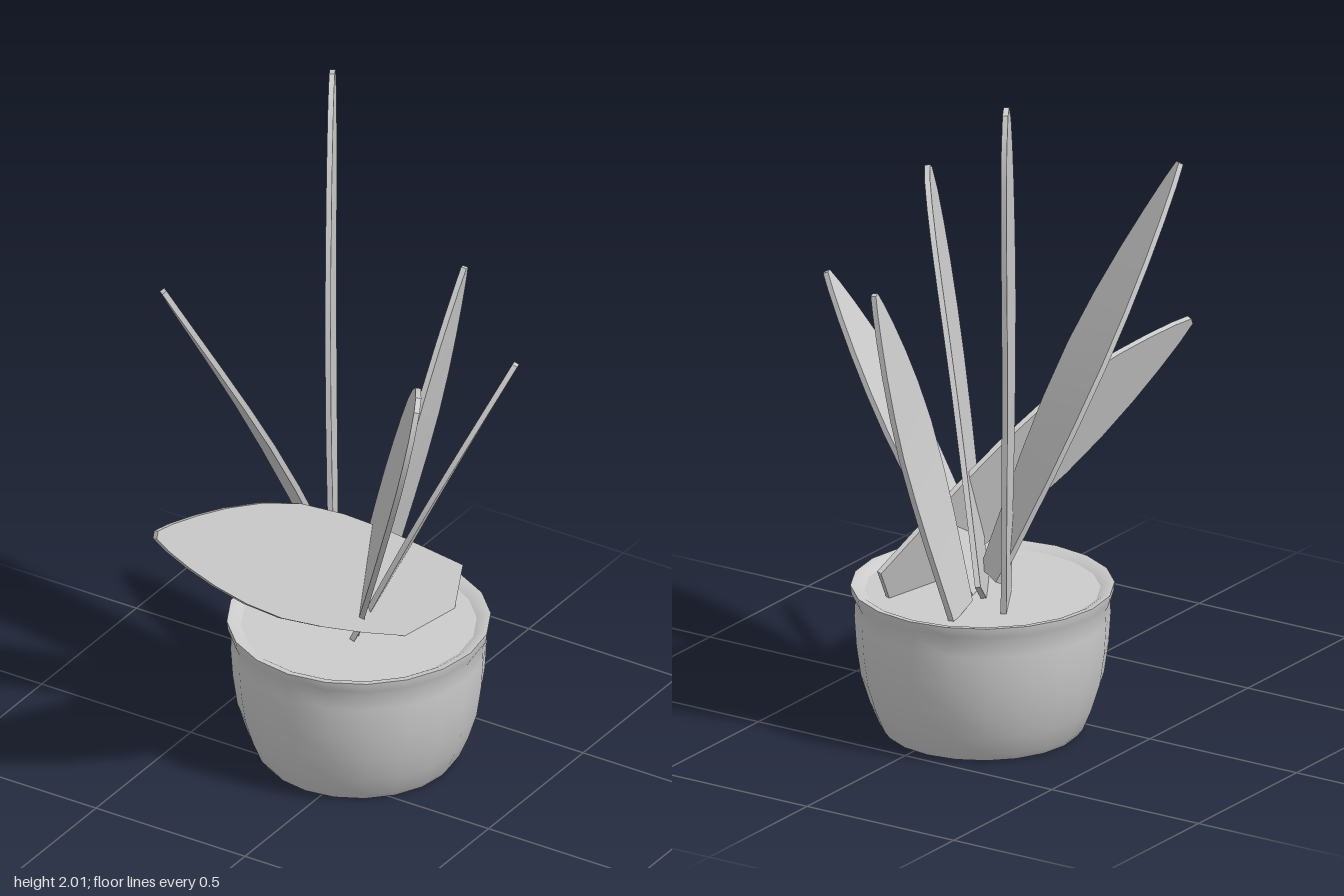
import * as THREE from 'three';
import { toCreasedNormals } from 'three/addons/utils/BufferGeometryUtils.js';

const material = new THREE.MeshStandardMaterial({ color: 0xcccccc });
const THICKNESS = 0.016;

// Stations along a leaf, and its relative width there (first value is per leaf)
const STATIONS = [0, 0.13, 0.28, 0.42, 0.56, 0.68, 0.79, 0.88, 0.955, 1];
const ROUNDED = [0, 0.3, 0.65, 0.9, 1, 0.98, 0.9, 0.74, 0.5, 0.14];
const POINTED = [0, 0.35, 0.75, 0.97, 1, 0.88, 0.68, 0.46, 0.24, 0.07];

// Thin blade along base-mid-tip, spread sideways towards "across"
function leafGeometry({ base, mid, tip, across, half, foot, shape }) {
  const spine = new THREE.CatmullRomCurve3([base, mid, tip].map((p) => new THREE.Vector3(...p)));
  const positions = [];
  const index = [];
  STATIONS.forEach((t, i) => {
    const centre = spine.getPoint(t);
    const along = spine.getTangent(t);
    const side = new THREE.Vector3(...across);
    side.addScaledVector(along, -side.dot(along)).normalize();
    const normal = new THREE.Vector3().crossVectors(side, along);
    const width = half * (foot + (1 - foot) * shape[i]) * (shape[i] < 1 && t > 0.56 ? shape[i] / (foot + (1 - foot) * shape[i]) : 1);
    for (const [u, v] of [[-1, -1], [1, -1], [1, 1], [-1, 1]]) {
      const p = centre.clone().addScaledVector(side, u * width).addScaledVector(normal, v * THICKNESS / 2);
      positions.push(p.x, p.y, p.z);
    }
    if (i === 0) return;
    for (let k = 0; k < 4; k++) {
      const a = (i - 1) * 4 + k;
      const b = (i - 1) * 4 + ((k + 1) % 4);
      index.push(a, a + 4, b, b, a + 4, b + 4);
    }
  });
  // End caps
  const e = (STATIONS.length - 1) * 4;
  index.push(0, 1, 2, 0, 2, 3, e, e + 2, e + 1, e, e + 3, e + 2);
  const geometry = new THREE.BufferGeometry();
  geometry.setAttribute('position', new THREE.Float32BufferAttribute(positions, 3));
  geometry.setIndex(index);
  return toCreasedNormals(geometry, 0.6);
}

const LEAVES = {
  tallLeaf: {
    base: [-0.17, 0.41, -0.24], mid: [-0.22, 1.2, -0.3], tip: [-0.32, 2, -0.465],
    across: [0.49, 0, 0.87], half: 0.155, foot: 0.6, shape: ROUNDED,
  },
  rightLeaf: {
    base: [-0.09, 0.47, -0.2], mid: [-0.245, 1.03, 0], tip: [-0.405, 1.63, 0.295],
    across: [0.82, 0, 0.57], half: 0.125, foot: 0.5, shape: POINTED,
  },
  leftLeaf: {
    base: [-0.1, 0.42, -0.25], mid: [0.17, 0.97, 0.02], tip: [0.405, 1.475, 0.225],
    across: [0.11, 0, 0.18], half: 0.175, foot: 0.75, shape: ROUNDED,
  },
  lowFrontLeaf: {
    base: [0.13, 0.43, -0.4], mid: [-0.05, 0.74, 0.09], tip: [-0.24, 1.03, 0.595],
    across: [-0.02, 0.125, -0.095], half: 0.165, foot: 0.65, shape: POINTED,
  },
  backLeaf: {
    base: [-0.11, 0.42, -0.38], mid: [-0.02, 0.88, -0.45], tip: [0.045, 1.41, -0.59],
    across: [0.2, 0, 0.97], half: 0.115, foot: 0.65, shape: POINTED,
  },
  backLeftLeaf: {
    base: [-0.03, 0.42, -0.16], mid: [0.16, 0.85, -0.235], tip: [0.385, 1.33, -0.325],
    across: [0.25, 0, 0.97], half: 0.13, foot: 0.7, shape: POINTED,
  },
};

export function createModel() {
  const group = new THREE.Group();
  group.name = 'pottedPlant';

  // Round pot with a flared lip, closed by the soil
  const profile = [
    [0, 0], [0.28, 0], [0.295, 0.02], [0.32, 0.08], [0.345, 0.16], [0.358, 0.25],
    [0.364, 0.34], [0.362, 0.385], [0.372, 0.405], [0.375, 0.432], [0.355, 0.43], [0.335, 0.418],
  ].map(([r, y]) => new THREE.Vector2(r, y));
  const pot = new THREE.Mesh(toCreasedNormals(new THREE.LatheGeometry(profile, 20), 0.8), material);
  pot.name = 'pot';
  pot.position.set(-0.05, 0, -0.18);
  group.add(pot);

  const soil = new THREE.Mesh(new THREE.CircleGeometry(0.337, 20).rotateX(-Math.PI / 2), material);
  soil.name = 'soil';
  soil.position.set(-0.05, 0.418, -0.18);
  group.add(soil);

  // Leaves
  for (const [name, spec] of Object.entries(LEAVES)) {
    const leaf = new THREE.Mesh(leafGeometry(spec), material);
    leaf.name = name;
    group.add(leaf);
  }
  return group;
}
